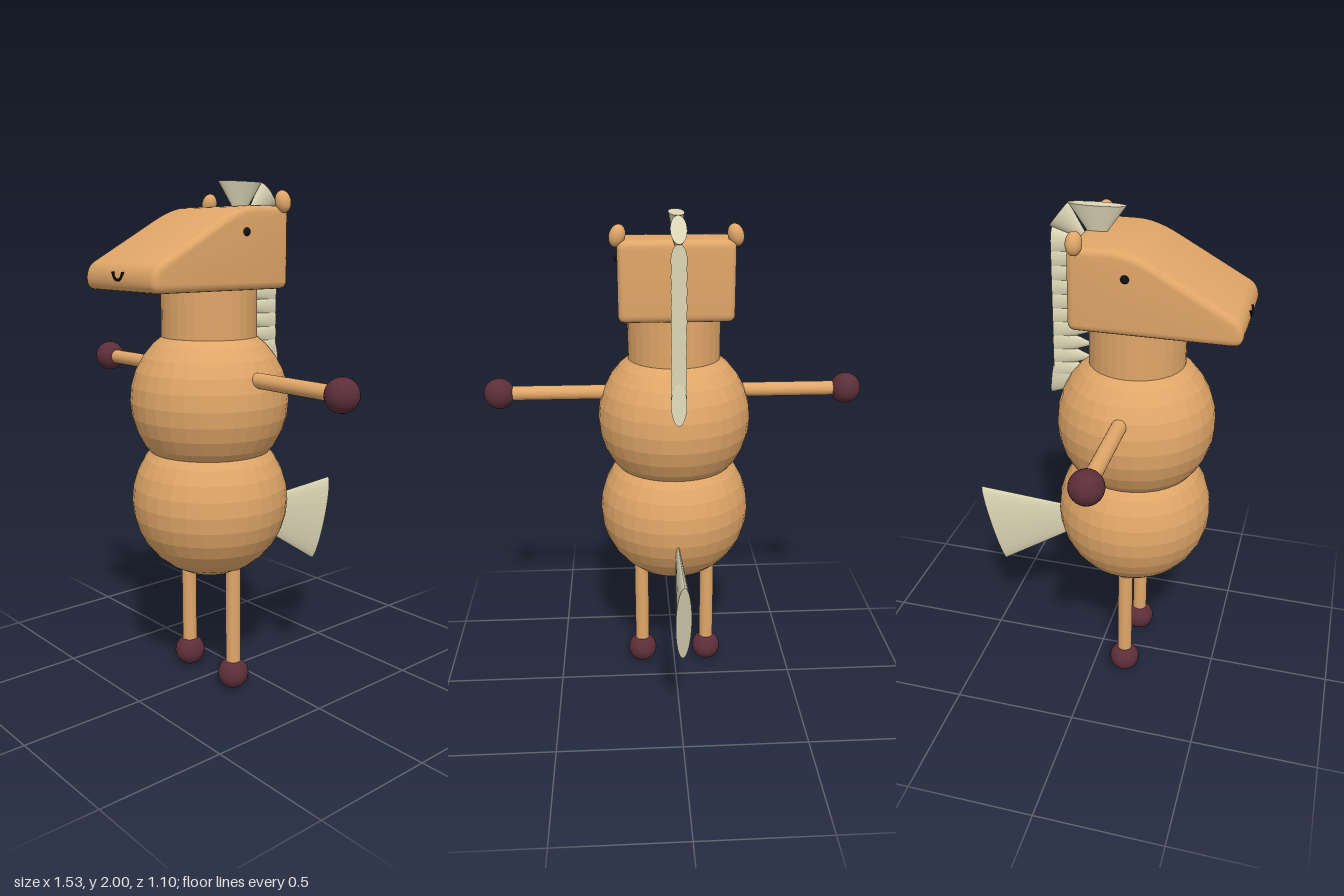
import * as THREE from 'three';
import { toCreasedNormals } from 'three/addons/utils/BufferGeometryUtils.js';

const flat = (color) => new THREE.MeshStandardMaterial({ color, flatShading: true });

export function createModel() {
  const model = new THREE.Group();
  const coat = flat(0xe0a668), hair = flat(0xdcd5b5), hoof = flat(0x5c2e38), black = flat(0x111111);
  const Z = 0.135; // depth of the body axis

  function add(name, geometry, material, x, y, z) {
    const mesh = new THREE.Mesh(geometry, material);
    mesh.name = name;
    mesh.position.set(x, y, z);
    model.add(mesh);
    return mesh;
  }
  const ball = (r) => new THREE.SphereGeometry(r, 32, 16);
  const rod = (r, h) => new THREE.CylinderGeometry(r, r, h, 32);

  // Flattened cone of hair, from its tip to the centre of its wide end, both as [z, y]
  function tuft(name, tip, end, radius, halfWidth) {
    const dz = end[0] - tip[0], dy = end[1] - tip[1];
    const geometry = new THREE.ConeGeometry(radius, Math.hypot(dz, dy), 32);
    geometry.rotateX(Math.PI).scale(halfWidth / radius, 1, 1).rotateX(Math.atan2(dz, dy));
    return add(name, geometry, hair, 0, (tip[1] + end[1]) / 2, (tip[0] + end[0]) / 2);
  }

  // Body and neck
  add('belly', ball(0.31), coat, 0, 0.77, Z);
  add('chest', ball(0.31), coat, 0, 1.17, Z);
  add('neck', rod(0.185, 0.35), coat, 0, 1.475, Z);

  // Head: side profile (z, y) extruded across x with rounded edges
  const s = new THREE.Shape();
  s.moveTo(-0.045, 1.6);
  s.lineTo(0.51, 1.6);
  s.quadraticCurveTo(0.55, 1.6, 0.55, 1.64);
  s.quadraticCurveTo(0.55, 1.685, 0.515, 1.705);
  s.lineTo(0.24, 1.855);
  s.quadraticCurveTo(0.15, 1.905, 0.08, 1.905);
  s.lineTo(-0.045, 1.905);
  s.quadraticCurveTo(-0.077, 1.905, -0.077, 1.873);
  s.lineTo(-0.077, 1.632);
  s.quadraticCurveTo(-0.077, 1.6, -0.045, 1.6);
  const bevel = 0.025, width = 0.44;
  const head = new THREE.ExtrudeGeometry(s, {
    depth: width - 2 * bevel, bevelThickness: bevel, bevelSize: bevel, bevelOffset: -bevel,
    bevelSegments: 4, curveSegments: 6,
  });
  head.translate(0, 0, bevel - width / 2).rotateY(-Math.PI / 2);
  add('head', toCreasedNormals(head, 0.5), new THREE.MeshStandardMaterial({ color: 0xe0a668 }), 0, 0, 0);

  // Smile
  const mouth = add('mouth', new THREE.TorusGeometry(0.03, 0.007, 8, 20, Math.PI), black, 0, 1.672, 0.546);
  mouth.rotation.z = Math.PI;

  // Paired parts
  for (const [side, k] of [['left', 1], ['right', -1]]) {
    add(side + 'Eye', ball(0.016), black, k * 0.216, 1.81, Z);

    const ear = add(side + 'Ear', ball(0.03), coat, k * 0.217, 1.92, -0.045);
    ear.scale.set(1, 1.4, 1);
    ear.rotation.z = -k * -0.3;

    const arm = add(side + 'Arm', rod(0.029, 0.42), coat, k * 0.49, 1.275, Z);
    arm.rotation.z = Math.PI / 2;
    add(side + 'Hand', ball(0.062), hoof, k * 0.705, 1.275, Z);

    add(side + 'Leg', rod(0.03, 0.445), coat, k * 0.143, 0.288, Z);
    add(side + 'Foot', ball(0.062), hoof, k * 0.143, 0.064, Z);
  }

  // Tail
  tuft('tail', [0.032, 0.7], [-0.497, 0.56], 0.186, 0.03);

  // Mane: forelock, crown, a row down the neck, and the lowest tuft
  tuft('forelock', [-0.022, 1.85], [-0.022, 2], 0.108, 0.03);
  tuft('crownTuft', [-0.045, 1.86], [-0.165, 1.955], 0.058, 0.03);
  for (let i = 0; i < 10; i++) {
    const y = 1.85 - i * 0.055;
    tuft('maneTuft', [-0.03, y], [-0.19, y], 0.06, 0.03);
  }
  tuft('lowestManeTuft', [-0.04, 1.3], [-0.2, 1.32], 0.08, 0.03);

  return model;
}
